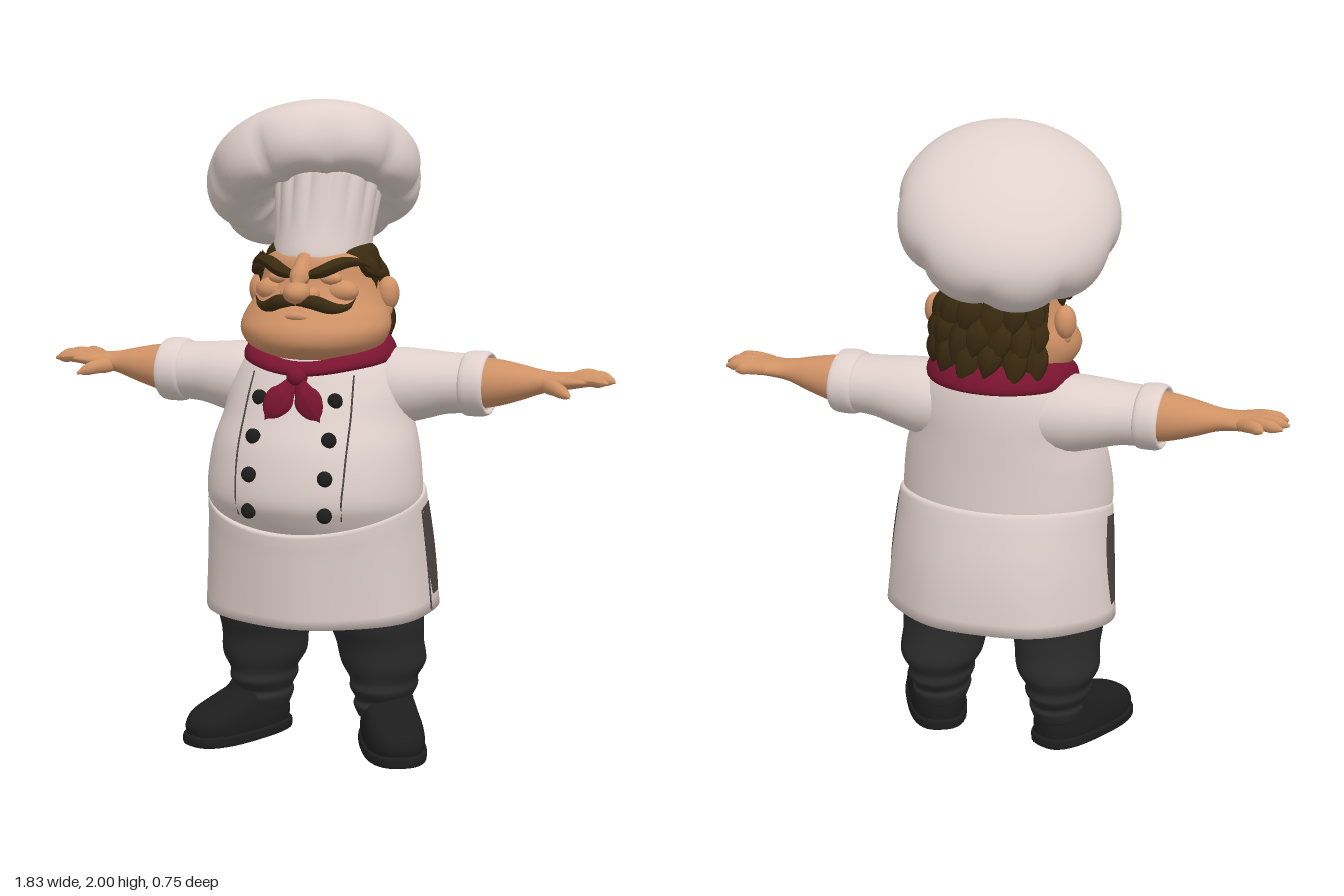
import * as THREE from 'three';

const mat = (name, color, side = THREE.FrontSide) => {
  const m = new THREE.MeshStandardMaterial({ color, side });
  m.name = name;
  return m;
};
const V = (p) => new THREE.Vector3(...p);

// Catmull-Rom resampling of rows of numbers
function resample(rows, steps) {
  const out = [], last = rows.length - 1;
  for (let i = 0; i < last; i++)
    for (let s = 0; s < steps; s++) {
      const t = s / steps, r = [-1, 0, 1, 2].map((k) => rows[Math.min(last, Math.max(0, i + k))]);
      out.push(r[1].map((_, c) => {
        const [a, b, d, e] = r.map((q) => q[c]);
        return b + 0.5 * t * (d - a + t * (2 * a - 5 * b + 4 * d - e + t * (3 * (b - d) + e - a)));
      }));
    }
  out.push(rows[last]);
  return out;
}

// Skin a stack of closed rings of points, optionally capped
function skin(rings, cap = true) {
  const n = rings[0].length, m = rings.length, pos = rings.flat(2), idx = [];
  for (let i = 0; i < m - 1; i++)
    for (let j = 0; j < n; j++) {
      const a = i * n + j, b = i * n + (j + 1) % n;
      idx.push(a, b, b + n, a, b + n, a + n);
    }
  if (cap) [0, m - 1].forEach((r) => {
    const c = pos.length / 3;
    pos.push(...[0, 1, 2].map((k) => rings[r].reduce((s, p) => s + p[k], 0) / n));
    for (let j = 0; j < n; j++) {
      const a = r * n + j, b = r * n + (j + 1) % n;
      r ? idx.push(a, b, c) : idx.push(b, a, c);
    }
  });
  const g = new THREE.BufferGeometry();
  g.setAttribute('position', new THREE.Float32BufferAttribute(pos, 3));
  g.setIndex(idx);
  g.computeVertexNormals();
  return g;
}
const around = (n, f) => Array.from({ length: n }, (_, j) => f((j / n) * Math.PI * 2));

// Upright form; rows are [y, halfWidth, zFront, zBack, centreX]
const upright = (rows, pleat = () => 1, n = 48) => skin(resample(rows, 5).map(([y, rx, f, b, cx = 0]) =>
  around(n, (a) => {
    const k = pleat(a, y);
    return [cx + rx * k * Math.sin(a), y, (f + b) / 2 + (f - b) / 2 * k * Math.cos(a)];
  })));
// Sideways form; rows are [x, y, z, halfHeight, halfDepth]
const sideways = (rows) => skin(resample(rows, 4).map(([x, y, z, ry, rz]) =>
  around(28, (a) => [x, y - ry * Math.sin(a), z + rz * Math.cos(a)])));

// Tapered strand along a curve, squashed per axis
function strand(points, radii, squash = [1, 1, 1], segs = 14, sides = 10) {
  const curve = new THREE.CatmullRomCurve3(points.map(V));
  const g = new THREE.TubeGeometry(curve, segs, 1, sides), p = g.attributes.position, v = new THREE.Vector3();
  const rs = resample(radii.map((r) => [r]), 8);
  for (let i = 0; i < p.count; i++) {
    const u = Math.floor(i / (sides + 1)) / segs, c = curve.getPointAt(u);
    const r = Math.max(0.0005, rs[Math.round(u * (rs.length - 1))][0]);
    v.fromBufferAttribute(p, i).sub(c).multiplyScalar(r).multiply(V(squash)).add(c);
    p.setXYZ(i, v.x, v.y, v.z);
  }
  g.computeVertexNormals();
  return g;
}
const ball = (c, s) => new THREE.SphereGeometry(1, 24, 16).scale(...s).translate(...c);

function mirrored(geo) {
  const g = geo.clone().scale(-1, 1, 1), ix = g.index.array;
  for (let i = 0; i < ix.length; i += 3) [ix[i], ix[i + 1]] = [ix[i + 1], ix[i]];
  return g;
}

export function createModel() {
  const root = new THREE.Group();
  root.name = 'chef';
  const cloth = mat('white cloth', 0xdfd0cb, THREE.DoubleSide), skinTone = mat('skin', 0xd09266);
  const hair = mat('dark brown hair', 0x3a2a10), red = mat('scarf red', 0x7a1430, THREE.DoubleSide);
  const dark = mat('trouser charcoal', 0x2a2a2b), black = mat('boot black', 0x1d1d1e);
  const seam = mat('seam grey', 0x4c4442, THREE.DoubleSide);
  const add = (name, geo, m) => {
    const mesh = new THREE.Mesh(geo, m);
    mesh.name = name;
    root.add(mesh);
  };
  const pair = (name, geo, m) => {
    add(name + 'Left', geo, m);
    add(name + 'Right', mirrored(geo), m);
  };

  // Jacket body
  const torso = [[0.66, 0.3, 0.295, -0.17], [0.75, 0.328, 0.354, -0.188], [0.82, 0.338, 0.377, -0.19], [0.95, 0.324, 0.349, -0.185],
    [1.05, 0.296, 0.302, -0.183], [1.13, 0.282, 0.262, -0.18], [1.2, 0.25, 0.225, -0.17], [1.25, 0.2, 0.19, -0.15], [1.28, 0.13, 0.14, -0.1]];
  add('jacket', upright(torso), cloth);
  const fine = resample(torso, 20);
  const chestZ = (x, y) => {
    const [, rx, f, b] = fine.reduce((p, q) => (Math.abs(q[0] - y) < Math.abs(p[0] - y) ? q : p));
    return (f + b) / 2 + (f - b) / 2 * Math.sqrt(1 - (x / rx) ** 2);
  };
  // Front panel seams and two columns of buttons
  const line = [];
  for (let y = 0.76; y < 1.2; y += 0.06) {
    const x = 0.172 - 0.25 * (y - 0.95) ** 2;
    line.push([x, y, chestZ(x, y)]);
  }
  pair('panelSeam', strand(line, [0.003, 0.003], [1, 1, 1], 24, 6), seam);
  for (const y of [0.78, 0.89, 1.0, 1.11]) pair('button', ball([0.12, y, chestZ(0.12, y) + 0.004], [0.024, 0.024, 0.013]), black);

  // Sleeves, rolled cuffs, arms and fingers
  pair('sleeve', sideways([[0.1, 1.12, -0.01, 0.1, 0.12], [0.22, 1.125, 0, 0.12, 0.135], [0.32, 1.135, 0, 0.108, 0.125],
    [0.4, 1.143, 0, 0.094, 0.112], [0.48, 1.145, 0, 0.09, 0.108]]), cloth);
  pair('cuff', sideways([[0.45, 1.145, 0, 0.085, 0.1], [0.46, 1.145, 0, 0.097, 0.115], [0.49, 1.146, 0, 0.1, 0.118],
    [0.52, 1.146, 0, 0.098, 0.117], [0.53, 1.146, 0, 0.09, 0.108], [0.52, 1.146, 0, 0.078, 0.09]]), cloth);
  pair('forearm', sideways([[0.45, 1.145, 0, 0.08, 0.085], [0.54, 1.15, 0, 0.074, 0.08], [0.62, 1.155, 0, 0.056, 0.066],
    [0.69, 1.16, 0, 0.036, 0.048], [0.74, 1.163, 0, 0.028, 0.054], [0.79, 1.168, -0.005, 0.024, 0.066],
    [0.83, 1.17, -0.01, 0.018, 0.064], [0.845, 1.17, -0.012, 0.006, 0.05]]), skinTone);
  const tips = [[0.85, -0.088], [0.9, -0.05], [0.912, -0.008], [0.9, 0.036]];
  tips.forEach(([x, z], i) => pair('finger', strand([[0.77, 1.168, -0.045 + i * 0.027], [(0.79 + x) / 2, 1.176, z * 0.85], [x, 1.168, z]],
    [0.018, 0.02, 0.021, 0.02, 0.018, 0.004]), skinTone));
  pair('thumb', strand([[0.7, 1.155, 0.015], [0.75, 1.148, 0.062], [0.8, 1.13, 0.098]], [0.02, 0.025, 0.022, 0.018, 0.004]), skinTone);

  // Apron skirt: a = angle from the front, t = 0 at the waist to 1 at the hem
  const apron = (a, t, off = 0) => {
    const c = Math.cos(a), top = 0.79 - 0.065 * c - 0.015 * Math.cos(2 * a), hem = 0.44 - 0.02 * c;
    const L = THREE.MathUtils.lerp, f = L(0.354, 0.337, t), b = L(-0.2, -0.27, t) - 0.015 * Math.sin(Math.PI * t);
    const fold = 1 + 0.012 * t * Math.sin(7 * a + 1);
    return [(L(0.342, 0.372, t) * fold + off) * Math.sin(a), L(top, hem, t), (f + b) / 2 + ((f - b) / 2 * fold + off) * c];
  };
  const skirt = [[1, -0.03], [1, 0], [0.9, 0], [0.75, 0], [0.6, 0], [0.45, 0], [0.3, 0], [0.15, 0], [0.03, 0.002], [0, -0.002], [0, -0.04]];
  add('apron', skin(skirt.map(([t, o]) => around(64, (a) => apron(a, t, o))), false), cloth);
  // Dark side openings of the apron, with a seam down to the hem
  const slit = new THREE.PlaneGeometry(1, 1, 4, 12), sp = slit.attributes.position;
  for (let i = 0; i < sp.count; i++) {
    const t = 0.08 + 0.77 * (0.5 - sp.getY(i)), w = 0.14 + 0.16 * Math.sin(Math.PI * (t + 0.1));
    sp.setXYZ(i, ...apron(1.6 + w * sp.getX(i), t, 0.006));
  }
  slit.computeVertexNormals();
  pair('apronOpening', slit, seam);
  pair('apronSeam', strand([0.1, 0.4, 0.7, 0.98].map((t) => apron(1.49, t, 0.001)), [0.003, 0.003], [1, 1, 1], 12, 6), seam);

  // Trousers
  add('hips', upright([[0.43, 0.2, 0.15, -0.1], [0.47, 0.29, 0.22, -0.15], [0.6, 0.3, 0.27, -0.17], [0.72, 0.29, 0.27, -0.16]]), dark);
  pair('trouserLeg', upright([[0.6, 0.155, 0.21, -0.14, 0.17], [0.5, 0.155, 0.2, -0.12, 0.175], [0.4, 0.15, 0.19, -0.11, 0.182],
    [0.33, 0.137, 0.165, -0.12, 0.19], [0.26, 0.132, 0.155, -0.14, 0.198], [0.21, 0.105, 0.14, -0.122, 0.2],
    [0.18, 0.104, 0.145, -0.126, 0.2], [0.145, 0.088, 0.12, -0.1, 0.2], [0.125, 0.092, 0.13, -0.105, 0.2], [0.09, 0.08, 0.11, -0.09, 0.2]].reverse()), dark);
  // Boots with squarish toes turned out
  const place = (g) => g.rotateY(0.45).translate(0.21, 0, 0.008);
  const square = (a) => (Math.abs(Math.sin(a)) ** 2.7 + Math.abs(Math.cos(a)) ** 2.7) ** (-1 / 2.7) * (1 + 0.05 * Math.cos(a));
  pair('boot', place(upright([[0.02, 0.09, 0.282, -0.098], [0.06, 0.093, 0.288, -0.1], [0.095, 0.088, 0.262, -0.098], [0.12, 0.082, 0.19, -0.094],
    [0.14, 0.078, 0.12, -0.09], [0.16, 0.07, 0.1, -0.08]], square)), black);
  pair('sole', place(upright([[0, 0.092, 0.287, -0.102], [0.004, 0.098, 0.296, -0.108], [0.028, 0.098, 0.296, -0.108], [0.034, 0.09, 0.287, -0.1]], square)), black);

  // Head with a heavy jaw
  add('head', upright([[1.2, 0.12, 0.15, -0.09], [1.235, 0.17, 0.24, -0.1], [1.265, 0.21, 0.287, -0.11], [1.31, 0.232, 0.294, -0.12],
    [1.355, 0.224, 0.266, -0.13], [1.4, 0.2, 0.236, -0.13], [1.46, 0.178, 0.208, -0.12], [1.52, 0.165, 0.197, -0.11], [1.56, 0.13, 0.16, -0.08]]), skinTone);
  add('nose', ball([0, 1.43, 0.254], [0.042, 0.034, 0.05]), skinTone);
  add('noseBridge', strand([[0, 1.53, 0.178], [0, 1.485, 0.222], [0, 1.445, 0.27]], [0.022, 0.028, 0.03, 0.01]), skinTone);
  pair('nostril', ball([0.038, 1.423, 0.23], [0.024, 0.023, 0.028]), skinTone);
  pair('cheek', ball([0.108, 1.43, 0.165], [0.055, 0.035, 0.04]), skinTone);
  pair('eyelid', ball([0.08, 1.468, 0.18], [0.036, 0.02, 0.026]), skinTone);
  add('lowerLip', strand([[-0.06, 1.352, 0.25], [0, 1.36, 0.262], [0.06, 1.352, 0.25]], [0.002, 0.012, 0.002]), skinTone);
  pair('ear', ball([0.208, 1.412, 0.01], [0.034, 0.052, 0.038]), skinTone);
  pair('earLobe', ball([0.205, 1.365, 0.02], [0.02, 0.026, 0.02]), skinTone);
  // Moustache and angry brows
  pair('moustache', strand([[0, 1.402, 0.266], [0.05, 1.404, 0.26], [0.105, 1.384, 0.228], [0.142, 1.388, 0.195], [0.16, 1.412, 0.18]],
    [0.01, 0.021, 0.02, 0.012, 0.001], [1, 1, 0.8]), hair);
  pair('eyebrow', strand([[0.015, 1.478, 0.22], [0.06, 1.49, 0.218], [0.12, 1.516, 0.185], [0.165, 1.515, 0.145], [0.192, 1.498, 0.12]],
    [0.012, 0.022, 0.022, 0.014, 0.001], [1, 0.9, 1]), hair);

  // Hair at the temples, side tufts and rows of long locks at the back
  add('hairCap', upright([[1.49, 0.165, 0.16, -0.13], [1.51, 0.178, 0.18, -0.135], [1.55, 0.165, 0.165, -0.13], [1.58, 0.12, 0.14, -0.1]]), hair);
  add('backHair', upright([[1.25, 0.13, -0.04, -0.135], [1.3, 0.168, -0.04, -0.148], [1.4, 0.178, -0.025, -0.143], [1.48, 0.174, 0.03, -0.125], [1.53, 0.16, 0.08, -0.11]]), hair);
  pair('sideTuft', strand([[0.15, 1.525, 0.1], [0.182, 1.487, 0.09], [0.202, 1.476, 0.07], [0.212, 1.5, 0.055]], [0.024, 0.028, 0.014, 0.001]), hair);
  pair('sideburn', strand([[0.16, 1.53, 0.06], [0.18, 1.48, 0.06], [0.188, 1.43, 0.062]], [0.035, 0.03, 0.001], [0.5, 1, 1]), hair);
  [[1.51, 0.9], [1.44, 0.96], [1.375, 0.98]].forEach(([y, k], row) => {
    const count = 6 + (row % 2);
    for (let i = 0; i < count; i++) {
      const a = ((i + 0.5) / count - 0.5) * 2.5, wave = 0.02 * Math.sin(i * 2.3 + row * 1.7);
      const at = (r, h, turn) => [Math.sin(a + turn) * r, h, -0.02 - Math.cos(a + turn) * r * 0.78];
      add('hairLock', strand([at(0.16 * k, y, 0), at(0.187 * k, y - 0.06 + wave, 0.06), at(0.205 * k, y - 0.13 + wave, 0.16)],
        [0.028, 0.042, 0.03, 0.001], [1, 1, 0.6], 8, 7), hair);
    }
  });

  // Neck scarf: sloping ring dipping to a knot, with two flat tails
  const collar = around(48, (a) => {
    const c = Math.cos(a), s = Math.sin(a), dip = 0.02 * Math.max(0, c) ** 4;
    return around(14, (b) => {
      const r = 0.022 * Math.cos(b), h = (0.034 - 0.013 * c) * Math.sin(b);
      return [(0.212 + r - h * 0.4) * s, 1.243 - 0.024 * c - dip + h, 0.04 + (0.198 + r - h * 0.5) * c];
    });
  });
  collar.push(collar[0]);
  add('scarf', skin(collar.map((r) => r.slice().reverse()), false), red);
  add('scarfKnot', ball([0, 1.178, 0.256], [0.032, 0.03, 0.03]), red);
  pair('scarfTail', strand([[0.005, 1.175, 0.26], [0.032, 1.13, 0.278], [0.06, 1.09, 0.294], [0.088, 1.05, 0.3]], [0.014, 0.028, 0.045, 0.036, 0.001], [1, 1, 0.28]), red);

  // Hat: pleated band and a lopsided puffed crown
  const band = upright([[-0.01, 0.142, 0.155, -0.155], [0.0, 0.147, 0.162, -0.162], [0.1, 0.15, 0.164, -0.164], [0.27, 0.165, 0.178, -0.178]],
    (a, y) => 1 + 0.36 * Math.max(0, y - 0.06) * (Math.abs(Math.sin(a * 8)) - 0.6), 128);
  add('hatBand', band.rotateX(-0.29).translate(0, 1.495, 0.035), cloth);
  const crown = [[-0.06, 0.13], [-0.1, 0.18], [-0.125, 0.235], [-0.115, 0.29], [-0.07, 0.327], [0, 0.337], [0.06, 0.312],
    [0.11, 0.25], [0.142, 0.165], [0.157, 0.08], [0.16, 0.005]];
  const puff = skin(resample(crown, 4).map(([y, r]) => around(96, (a) => {
    const fade = THREE.MathUtils.clamp((0.05 - y) / 0.15, 0, 1);
    const k = r * (1 + 0.11 * fade * (Math.abs(Math.sin(a * 4.5 + 0.6)) ** 0.6 - 0.8));
    return [k * 0.98 * Math.sin(a), y, k * Math.cos(a)];
  })));
  add('hatCrown', puff.rotateX(-0.5).rotateZ(0.3).translate(-0.056, 1.77, -0.066), cloth);

  return root;
}
